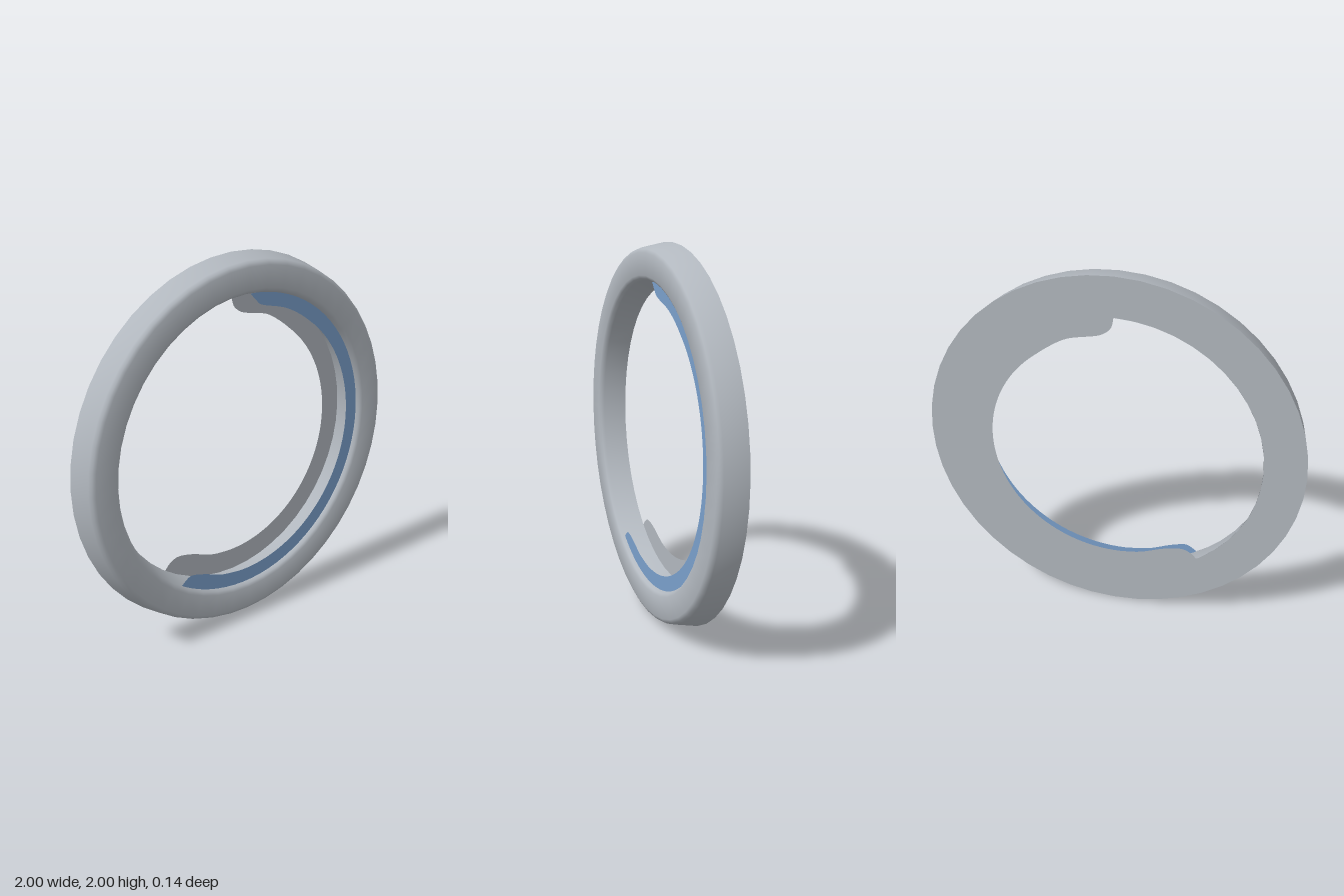
import * as THREE from 'three';
import { toCreasedNormals } from 'three/addons/utils/BufferGeometryUtils.js';

const BACK = -0.072, FRONT = 0.072, PLATE = 0.046;

// point from degrees and radius
const polar = (deg, r) => {
  const a = THREE.MathUtils.degToRad(deg);
  return new THREE.Vector2(Math.cos(a) * r, Math.sin(a) * r);
};

// points along a circular arc
function arc(r, from, to, n) {
  return Array.from({ length: n + 1 }, (_, i) => polar(from + (to - from) * i / n, r));
}

// inner edge of a ledge: shaped upper end, long arc, shaped lower end
function ledgeEdge(upper, r, lower) {
  const ends = l => new THREE.SplineCurve(l.map(p => polar(...p))).getPoints(24);
  return [...ends(upper), ...arc(r, 48, -92, 48), ...ends(lower)];
}

export function createModel() {
  const grey = new THREE.MeshStandardMaterial({ color: 0xb2b8bf });
  grey.name = 'grey';
  const greySheet = grey;
  greySheet.side = THREE.DoubleSide;
  const blue = new THREE.MeshStandardMaterial({ color: 0x7ba1cd, side: THREE.DoubleSide });
  blue.name = 'blue';

  const model = new THREE.Group();
  model.name = 'ring';
  const add = (name, geometry, material, z = 0) => {
    const mesh = new THREE.Mesh(geometry, material);
    mesh.name = name;
    mesh.position.set(0, 1, z);
    model.add(mesh);
  };

  // tapered ring body with rounded front edges, open at the back
  const profile = [
    [1, BACK], [0.977, 0.046], [0.968, 0.063], [0.95, FRONT],
    [0.835, FRONT], [0.819, 0.063], [0.81, 0.046], [0.78, BACK],
  ].map(p => new THREE.Vector2(...p));
  const body = new THREE.LatheGeometry(profile, 48);
  body.rotateX(Math.PI / 2);
  add('ringBody', toCreasedNormals(body, 0.7), grey);

  // flat back with a crescent ledge reaching into the opening
  const back = new THREE.Shape(arc(1, 0, 360, 48).slice(0, -1));
  const edge = ledgeEdge(
    [[90, 0.78], [89.2, 0.73], [87, 0.698], [82.4, 0.676], [70, 0.678], [60, 0.667], [50, 0.66]],
    0.66,
    [[-94, 0.66], [-103, 0.66], [-115.5, 0.658], [-123, 0.689], [-125.6, 0.738], [-126, 0.78]]);
  const opening = [...edge, ...arc(0.78, -128, -268, 36)];
  back.holes.push(new THREE.Path(opening));
  add('backPlate', new THREE.ShapeGeometry(back), grey, BACK);

  // thin blue crescent set just behind the front edge
  const blueEdge = ledgeEdge(
    [[88.1, 0.806], [85.1, 0.766], [81.7, 0.742], [70, 0.738], [60, 0.733], [50, 0.73]],
    0.73,
    [[-94, 0.73], [-104, 0.728], [-113, 0.722], [-119.6, 0.737], [-121.7, 0.76], [-123, 0.806]]);
  const crescent = new THREE.Shape([...blueEdge, ...arc(0.808, -122, 87, 48)]);
  add('blueCrescent', new THREE.ShapeGeometry(crescent), blue, PLATE);

  return model;
}
